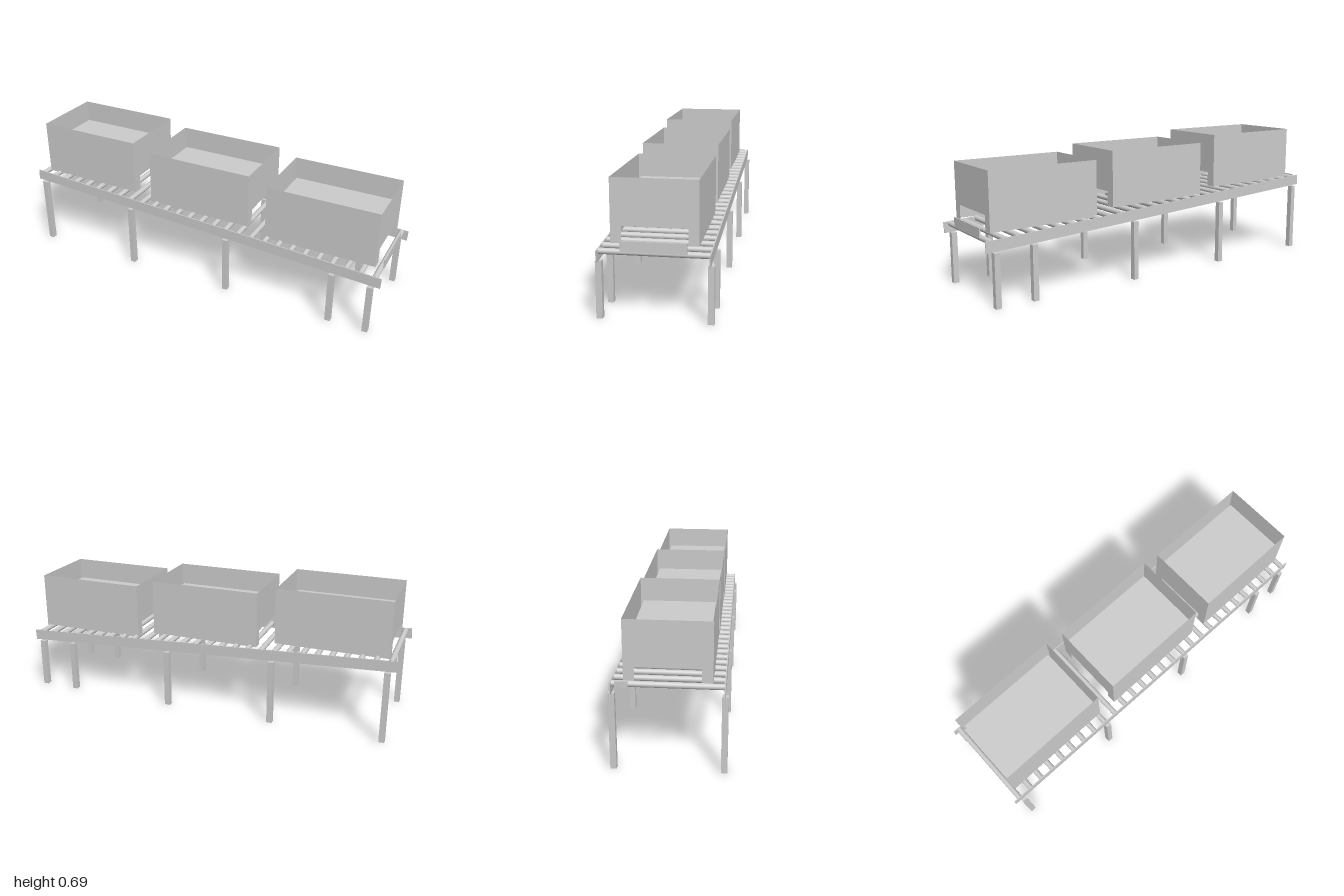
import * as THREE from 'three';

export function createModel() {
  const model = new THREE.Group();
  model.name = 'gravityRollerConveyor';
  const grey = new THREE.MeshStandardMaterial({ color: 0xcccccc, side: THREE.DoubleSide });
  grey.name = 'plain grey';

  const add = (parent, name, geometry, x, y, z) => {
    const mesh = new THREE.Mesh(geometry, grey);
    mesh.name = name;
    mesh.position.set(x, y, z);
    parent.add(mesh);
    return mesh;
  };

  // Height of the rail's centre line along the slope
  const slope = -0.055;
  const railHeight = 0.055;
  const railY = (x) => 0.3425 + slope * x;

  // Side rails and legs
  const railGeo = new THREE.BoxGeometry(1.998, railHeight, 0.005);
  const legXs = [-0.953, -0.383, 0.188, 0.759, 0.95];
  for (const side of [1, -1]) {
    add(model, 'sideRail', railGeo, 0, railY(0), side * 0.2405).rotation.z = Math.atan(slope);
    for (const x of legXs) {
      const top = railY(x + 0.014) - railHeight / 2 - 0.003;
      add(model, 'leg', new THREE.BoxGeometry(0.028, top, 0.028), x, top / 2, side * 0.242);
    }
  }

  // Rollers
  const rollerGeo = new THREE.CylinderGeometry(0.0135, 0.0135, 0.476, 24);
  rollerGeo.rotateX(Math.PI / 2);
  const count = 28, pitch = 2 / count;
  for (let i = 0; i < count; i++) {
    const x = -1 + pitch * (i + 0.5);
    add(model, 'roller', rollerGeo, x, railY(x) + 0.016, 0);
  }

  // Stops: end plate, middle separator blade and small plate at the upper end
  add(model, 'endStop', new THREE.BoxGeometry(0.006, 0.047, 0.286), 0.979, 0.3335, 0);
  add(model, 'separatorBlade', new THREE.BoxGeometry(0.011, 0.089, 0.056), 0.332, 0.3295, 0);
  add(model, 'upperPlate', new THREE.BoxGeometry(0.006, 0.028, 0.056), -0.979, 0.414, -0.195);

  // Open crates: thin walls notched at the ends, a base sheet and a block of contents
  const L = 0.57, H = 0.284, W = 0.38;
  const w = W / 2, notchW = 0.143, notchH = 0.075, fill = 0.175, inset = 0.016;
  const endShape = new THREE.Shape([
    [-w, 0], [-notchW, 0], [-notchW, notchH], [notchW, notchH],
    [notchW, 0], [w, 0], [w, H], [-w, H],
  ].map(([x, y]) => new THREE.Vector2(x, y)));
  const endGeo = new THREE.ShapeGeometry(endShape);
  const sideGeo = new THREE.PlaneGeometry(L, H);
  const baseGeo = new THREE.PlaneGeometry(L, W).rotateX(-Math.PI / 2);
  const contentsGeo = new THREE.BoxGeometry(L - 2 * inset, fill - notchH, W - 2 * inset);
  contentsGeo.translate(0, (fill - notchH) / 2 + 0.001, 0);

  for (const [x, y] of [[-0.667, 0.411], [0, 0.375], [0.665, 0.338]]) {
    const crate = new THREE.Group();
    crate.name = 'crate';
    crate.position.set(x, y, 0);
    for (const s of [1, -1]) {
      add(crate, 'crateEnd', endGeo, s * L / 2, 0, 0).rotation.y = s * Math.PI / 2;
      add(crate, 'crateSide', sideGeo, 0, H / 2, s * w).rotation.y = s > 0 ? 0 : Math.PI;
    }
    add(crate, 'crateBase', baseGeo, 0, notchH, 0);
    add(crate, 'crateContents', contentsGeo, 0, notchH, 0);
    model.add(crate);
  }

  return model;
}
